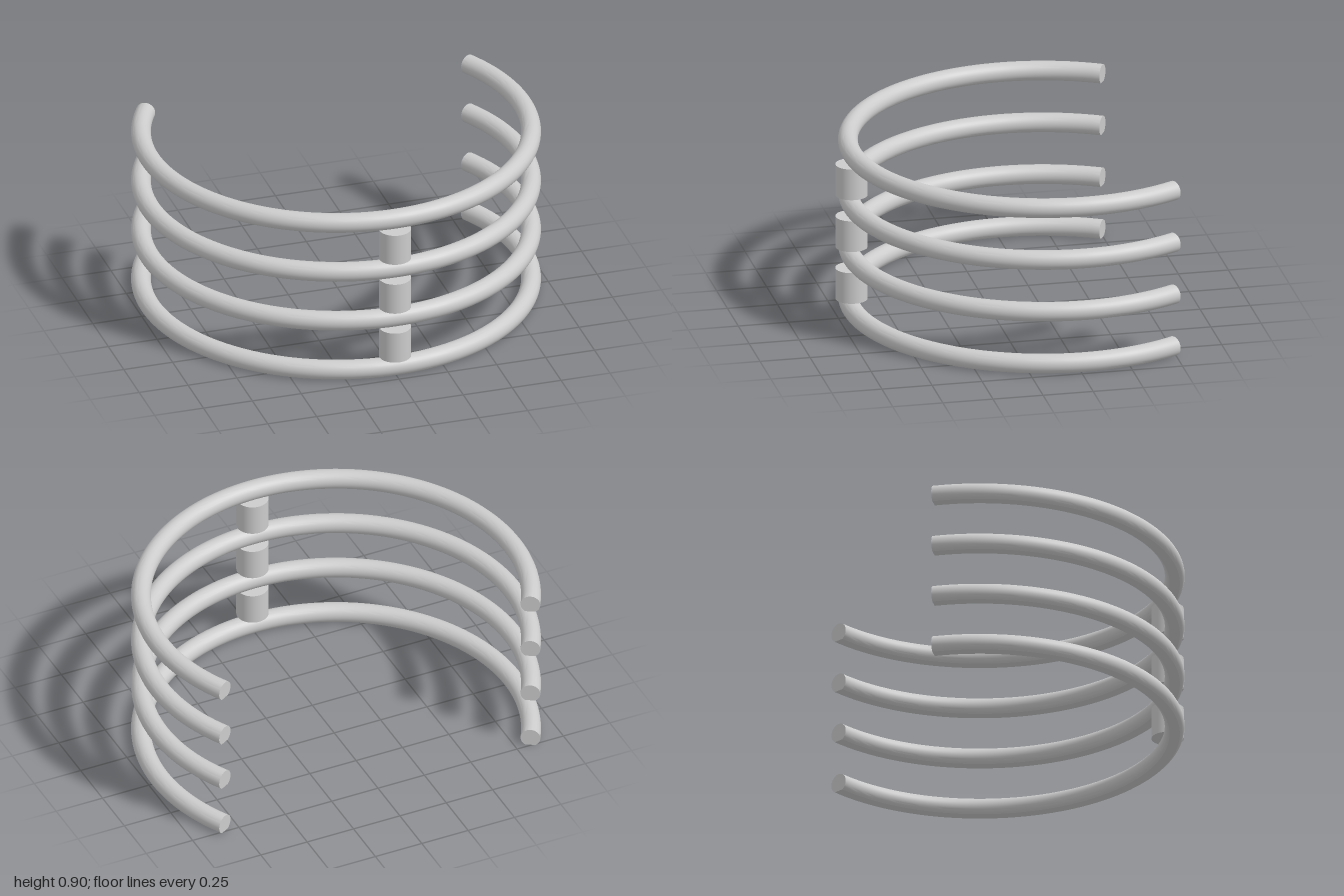
import * as THREE from 'three';
import { toCreasedNormals } from 'three/addons/utils/BufferGeometryUtils.js';

const TUBE = 0.0485;        // bar radius
const FLAT = 0.0415;        // height of bar centre above its flat underside
const RADIUS = 0.9515;      // ring centreline radius
const CENTRE_Z = -0.27;
const SPACING = 0.27;
const HALF_ARC = THREE.MathUtils.degToRad(120);

// Round bar section with a flattened underside, counter-clockwise in (radius, y)
function barSection() {
  const cut = Math.asin(FLAT / TUBE);
  const points = [];
  const steps = 28;
  for (let i = 0; i <= steps; i++) {
    const a = -cut + (i / steps) * (Math.PI + 2 * cut);
    points.push(new THREE.Vector2(RADIUS + TUBE * Math.cos(a), FLAT + TUBE * Math.sin(a)));
  }
  return points;
}

export function createModel() {
  const model = new THREE.Group();
  const material = new THREE.MeshStandardMaterial({ color: 0xcccccc });
  const capMaterial = new THREE.MeshStandardMaterial({ color: 0xcccccc, side: THREE.DoubleSide });

  const section = barSection();
  const closed = [...section, section[0].clone()];
  const ringGeometry = toCreasedNormals(
    new THREE.LatheGeometry(closed, 96, -HALF_ARC, 2 * HALF_ARC), 0.35);
  const capGeometry = new THREE.ShapeGeometry(new THREE.Shape(section));

  // Four open rings, each closed by a flat cap at both ends
  for (let i = 0; i < 4; i++) {
    const ring = new THREE.Group();
    ring.name = `openRing${i + 1}`;
    ring.position.set(0, i * SPACING, CENTRE_Z);
    const bar = new THREE.Mesh(ringGeometry, material);
    bar.name = 'ringBar';
    ring.add(bar);
    for (const side of [-1, 1]) {
      const cap = new THREE.Mesh(capGeometry, capMaterial);
      cap.name = side > 0 ? 'leftEndCap' : 'rightEndCap';
      cap.rotation.y = side * HALF_ARC - Math.PI / 2;
      ring.add(cap);
    }
    model.add(ring);
  }

  // Short spacer posts between the rings at the front
  const postGeometry = new THREE.CylinderGeometry(0.079, 0.079, 0.16, 48);
  for (let i = 0; i < 3; i++) {
    const post = new THREE.Mesh(postGeometry, material);
    post.name = `spacerPost${i + 1}`;
    post.position.set(0, 0.18 + i * SPACING, 0.685);
    model.add(post);
  }
  return model;
}
